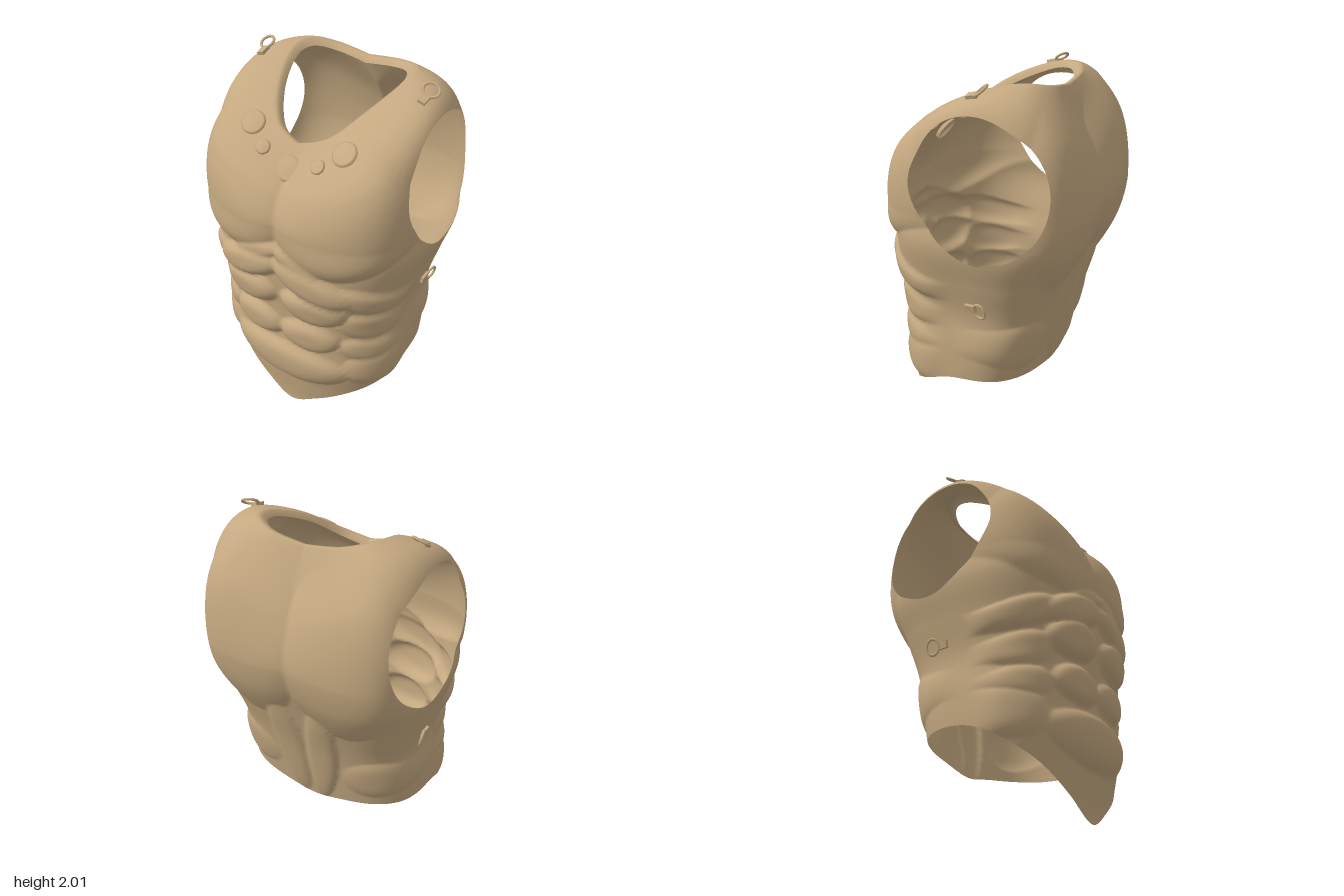
import * as THREE from 'three';
import { mergeVertices } from 'three/addons/utils/BufferGeometryUtils.js';

const NP = 180, NL = 92, NU = 50, LIP = 2, Y0 = 1.35;
const { lerp, clamp, smoothstep } = THREE.MathUtils;

// Smooth interpolation through evenly spaced values; t runs 0..1
function spline(a, t, closed = false) {
  const n = closed ? a.length : a.length - 1;
  const f = t * n, i = Math.min(Math.floor(f), n - 1), k = f - i;
  const g = (j) => closed ? a[(j + a.length) % a.length] : a[j < 0 ? -j : j > n ? 2 * n - j : j];
  const p0 = g(i - 1), p1 = g(i), p2 = g(i + 1), p3 = g(i + 2);
  return p1 + 0.5 * k * (p2 - p0 + k * (2 * p0 - 5 * p1 + 4 * p2 - p3 + k * (3 * (p1 - p2) + p3 - p0)));
}

// Torso sections at y = 0, 0.2 ... 1.4
const HALF_WIDTH = [0.5, 0.53, 0.56, 0.56, 0.545, 0.585, 0.63, 0.605];
const FRONT_Z = [0.455, 0.475, 0.505, 0.5, 0.51, 0.53, 0.525, 0.505];
const BACK_Z = [-0.28, -0.28, -0.31, -0.345, -0.39, -0.45, -0.51, -0.535];
// Hem height and neckline, every 30 degrees from front centre to back centre
const HEM = [0, 0.11, 0.27, 0.41, 0.42, 0.39, 0.35];
const NECK_X = [0, 0.15, 0.27, 0.345, 0.32, 0.19, 0];
const NECK_Y = [1.73, 1.78, 1.89, 1.975, 1.995, 1.97, 1.945];
const NECK_Z = [0.31, 0.26, 0.1, -0.12, -0.26, -0.335, -0.34];
// Armhole radius in the side plane, every 30 degrees from the front
const ARM = [0.365, 0.355, 0.365, 0.36, 0.348, 0.36, 0.365, 0.37, 0.365, 0.365, 0.338, 0.333];

// Muscle pads: x, y, rx, ry below, ry above, tilt, height
const FRONT_PADS = [
  [0.3, 1.4, 0.34, 0.27, 0.45, 0.05, 0.06],
  [0.12, 1.17, 0.17, 0.06, 0.06, -0.4, 0.035],
  [0.2, 1.06, 0.25, 0.095, 0.095, -0.35, 0.052],
  [0.2, 0.89, 0.19, 0.11, 0.11, -0.1, 0.056],
  [0.165, 0.66, 0.18, 0.105, 0.105, 0, 0.048],
  [0, 0.42, 0.4, 0.17, 0.12, 0, 0.045],
  [0.47, 0.98, 0.17, 0.08, 0.08, -0.5, 0.03],
  [0.45, 0.79, 0.13, 0.09, 0.09, -0.4, 0.028],
  [0.45, 0.62, 0.12, 0.08, 0.08, -0.2, 0.025],
  [0.5, 0.46, 0.15, 0.13, 0.13, 0.2, 0.025],
];
const BACK_PADS = [
  [0.27, 1.45, 0.33, 0.5, 0.5, 0, 0.05],
  [0.1, 0.75, 0.1, 0.4, 0.4, -0.1, 0.03],
  [0.4, 0.62, 0.2, 0.14, 0.14, 0.3, 0.02],
];

function muscle(x, y, pads) {
  let best = 0;
  for (const [cx, cy, rx, lo, hi, tilt, h] of pads) {
    const dx = Math.abs(x) - cx, dy = y - cy;
    const u = dx * Math.cos(tilt) + dy * Math.sin(tilt);
    const w = dy * Math.cos(tilt) - dx * Math.sin(tilt);
    const q = (u / rx) ** 2 + (w / (w < 0 ? lo : hi)) ** 2;
    if (q < 1) best = Math.max(best, h * (1 - q * q));
  }
  return best;
}

// Horizontal rounded-square section of the torso
function section(phi, y) {
  const t = clamp(y / 1.4, 0, 1), s = Math.sin(phi), c = Math.cos(phi);
  const a = spline(HALF_WIDTH, t), zf = spline(FRONT_Z, t), zb = spline(BACK_Z, t);
  const n = c > 0 ? lerp(2.2, 2.8, t) : lerp(2.5, 4.3, t);
  const r = (Math.abs(s / a) ** n + Math.abs(c / ((zf - zb) / 2)) ** n) ** (-1 / n);
  return new THREE.Vector3(r * s, y, (zf + zb) / 2 + r * c);
}

function surfacePoint(phi, row) {
  const s = Math.sin(phi), c = Math.cos(phi), m = Math.min(phi, 2 * Math.PI - phi) / Math.PI;
  let p, fade = 1;
  if (row <= NL) {
    p = section(phi, lerp(spline(HEM, m), Y0, row / NL));
  } else {
    // Sweep from the chest over the shoulder to the neckline
    const t = Math.min((row - NL) / NU, 1), p0 = section(phi, Y0);
    const neck = new THREE.Vector3(spline(NECK_X, m) * (phi > Math.PI ? -1 : 1), spline(NECK_Y, m), spline(NECK_Z, m));
    const rise = neck.y - Y0, q = s * s;
    const p1 = p0.clone().setY(Y0 + rise * (0.27 + 0.5 * q));
    const p2 = neck.clone().lerp(p0, 0.45 + 0.6 * q).setY(neck.y - rise * (0.28 - 0.24 * q));
    p = new THREE.CubicBezierCurve3(p0, p1, p2, neck).getPoint(t);
    fade = 1 - smoothstep(t, 0.45, 1);
    // Rolled neck edge
    const k = row - NL - NU;
    if (k > 0) {
      p.x *= 1 - 0.06 * k;
      p.z = lerp(p.z, -0.03, 0.06 * k);
      p.y -= k === 1 ? 0.004 : 0.035;
    }
  }
  const d = muscle(p.x, p.y, c > 0 ? FRONT_PADS : BACK_PADS) * fade * smoothstep(Math.abs(c), 0, 0.35);
  p.x += d * s;
  p.z += d * c;
  return p;
}

// Positive outside the armholes
function armField(p) {
  if (Math.abs(p.x) < 0.25) return 1;
  const z = p.z + 0.115, y = p.y - 1.515;
  const t = (Math.atan2(y, z) / (2 * Math.PI) + 1) % 1;
  return Math.hypot(z, y) - spline(ARM, t, true);
}

function shellGeometry() {
  const rows = NL + NU + LIP, grid = [], out = [];
  for (let j = 0; j <= rows; j++) {
    const line = [];
    for (let i = 0; i < NP; i++) {
      const p = surfacePoint((i / NP) * 2 * Math.PI, j);
      line.push({ p, f: armField(p) });
    }
    grid.push(line);
  }
  // Keep only the part of each triangle outside the armholes
  const clip = (tri) => {
    const poly = [];
    tri.forEach((a, k) => {
      const b = tri[(k + 1) % 3];
      if (a.f > 0) poly.push(a.p);
      if ((a.f > 0) !== (b.f > 0)) {
        const [u, v] = a.f > 0 ? [a, b] : [b, a];
        poly.push(u.p.clone().lerp(v.p, u.f / (u.f - v.f)));
      }
    });
    for (let k = 2; k < poly.length; k++)
      for (const q of [poly[0], poly[k - 1], poly[k]]) out.push(q.x, q.y, q.z);
  };
  for (let j = 0; j < rows; j++)
    for (let i = 0; i < NP; i++) {
      const n = (i + 1) % NP;
      const a = grid[j][i], b = grid[j][n], c = grid[j + 1][n], d = grid[j + 1][i];
      clip([a, b, c]);
      clip([a, c, d]);
    }
  let g = new THREE.BufferGeometry();
  g.setAttribute('position', new THREE.Float32BufferAttribute(out, 3));
  g = mergeVertices(g, 1e-5);
  g.computeVertexNormals();
  return g;
}

export function createModel() {
  const model = new THREE.Group();
  const leather = new THREE.MeshStandardMaterial({ color: 0xc4a880, side: THREE.DoubleSide });
  const add = (parent, name, geo) => {
    const mesh = new THREE.Mesh(geo, leather);
    mesh.name = name;
    parent.add(mesh);
    return mesh;
  };
  const shell = shellGeometry();
  add(model, 'breastplateShell', shell);

  // Group sitting on the nearest shell point, local z along its normal, local y along up
  const pos = shell.attributes.position, nor = shell.attributes.normal;
  function mount(name, x, y, z, up) {
    const target = new THREE.Vector3(x, y, z), v = new THREE.Vector3();
    let best = 0, min = Infinity;
    for (let i = 0; i < pos.count; i++) {
      const d = v.fromBufferAttribute(pos, i).distanceToSquared(target);
      if (d < min) { min = d; best = i; }
    }
    const n = new THREE.Vector3().fromBufferAttribute(nor, best).normalize();
    const side = up.clone().cross(n).normalize();
    const g = new THREE.Group();
    g.name = name;
    g.quaternion.setFromRotationMatrix(new THREE.Matrix4().makeBasis(side, n.clone().cross(side), n));
    // Slide the target onto the shell along the normal
    v.fromBufferAttribute(pos, best).sub(target);
    g.position.copy(target).addScaledVector(n, v.dot(n));
    model.add(g);
    return g;
  }

  // Round studs below the neckline
  const up = new THREE.Vector3(0, 1, 0), back = new THREE.Vector3(0, 0, -1);
  const stud = (x, y, z, r) => {
    const profile = [[0, 0.014], [r * 0.8, 0.011], [r * 0.96, 0.006], [r, -0.012]].map((q) => new THREE.Vector2(...q)).reverse();
    add(mount('neckStud', x, y, z, up), 'studDisc', new THREE.LatheGeometry(profile, 32).rotateX(Math.PI / 2));
  };
  // Strap loop: a tab holding a rounded ring
  const loop = (name, x, y, z, dir, tilt) => {
    const g = mount(name, x, y, z, dir);
    add(g, 'loopTab', new THREE.BoxGeometry(0.04, 0.06, 0.02)).position.z = 0.006;
    const ring = add(g, 'loopRing', new THREE.TorusGeometry(0.037, 0.007, 8, 28));
    ring.scale.set(1.15, 0.95, 1);
    ring.position.set(0, 0.055, 0.014 + 0.03 * Math.sin(tilt));
    ring.rotation.x = tilt;
  };
  stud(0, 1.63, 0.39, 0.07);
  for (const s of [1, -1]) {
    stud(s * 0.165, 1.68, 0.365, 0.04);
    stud(s * 0.275, 1.73, 0.28, 0.067);
    loop('shoulderLoop', s * 0.47, 1.925, -0.06, back, 0.35);
    loop('sideLoop', s * 0.58, 0.87, -0.065, back, 0.2);
  }
  return model;
}
